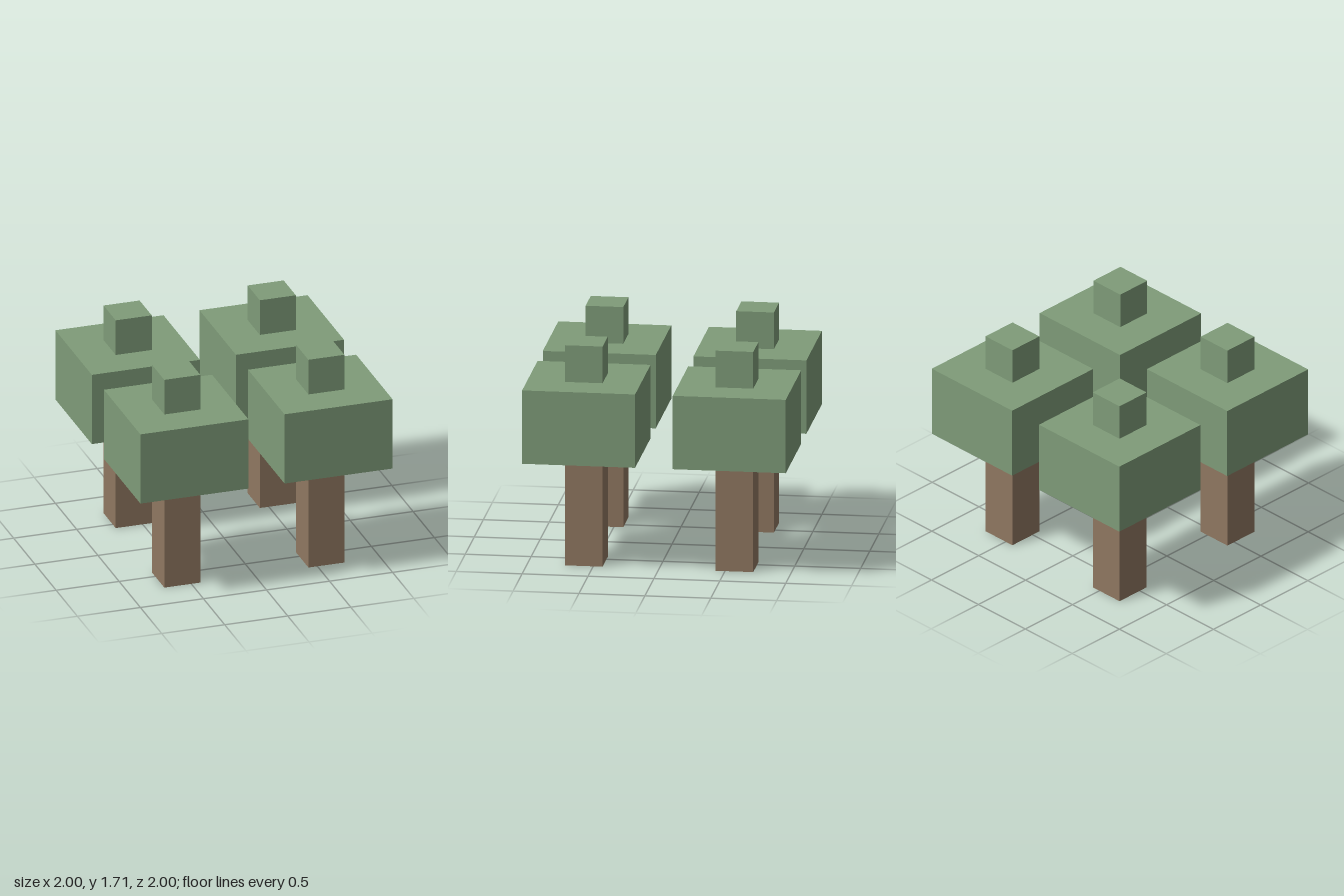
import * as THREE from 'three';

const U = 1 / 7; // block size that every measure is a multiple of

// Box standing on y = 0 without its bottom face
function openBox(width, height) {
  const geometry = new THREE.BoxGeometry(width, height, width);
  const index = Array.from(geometry.index.array);
  index.splice(18, 6); // the fourth face is the bottom
  geometry.setIndex(index);
  geometry.clearGroups();
  return geometry.translate(0, height / 2, 0);
}

export function createModel() {
  const bark = new THREE.MeshStandardMaterial({ name: 'bark brown', color: 0x907861, side: THREE.DoubleSide });
  const leaf = new THREE.MeshStandardMaterial({ name: 'leaf green', color: 0x7f9c79, side: THREE.DoubleSide });

  // name, geometry, material, base height
  const parts = [
    ['trunk', openBox(2 * U, 6 * U), bark, 0],
    ['canopy', openBox(6 * U, 4 * U), leaf, 6 * U],
    ['treeTop', openBox(2 * U, 2 * U), leaf, 10 * U],
  ];

  const model = new THREE.Group();
  model.name = 'trees';

  // Four equal trees in a square
  for (const x of [-1, 1]) {
    for (const z of [-1, 1]) {
      const tree = new THREE.Group();
      tree.name = `${z > 0 ? 'front' : 'back'}${x > 0 ? 'Left' : 'Right'}Tree`;
      tree.position.set(x * 4 * U, 0, z * 4 * U);
      for (const [name, geometry, material, y] of parts) {
        const mesh = new THREE.Mesh(geometry, material);
        mesh.name = name;
        mesh.position.y = y;
        tree.add(mesh);
      }
      model.add(tree);
    }
  }
  return model;
}
